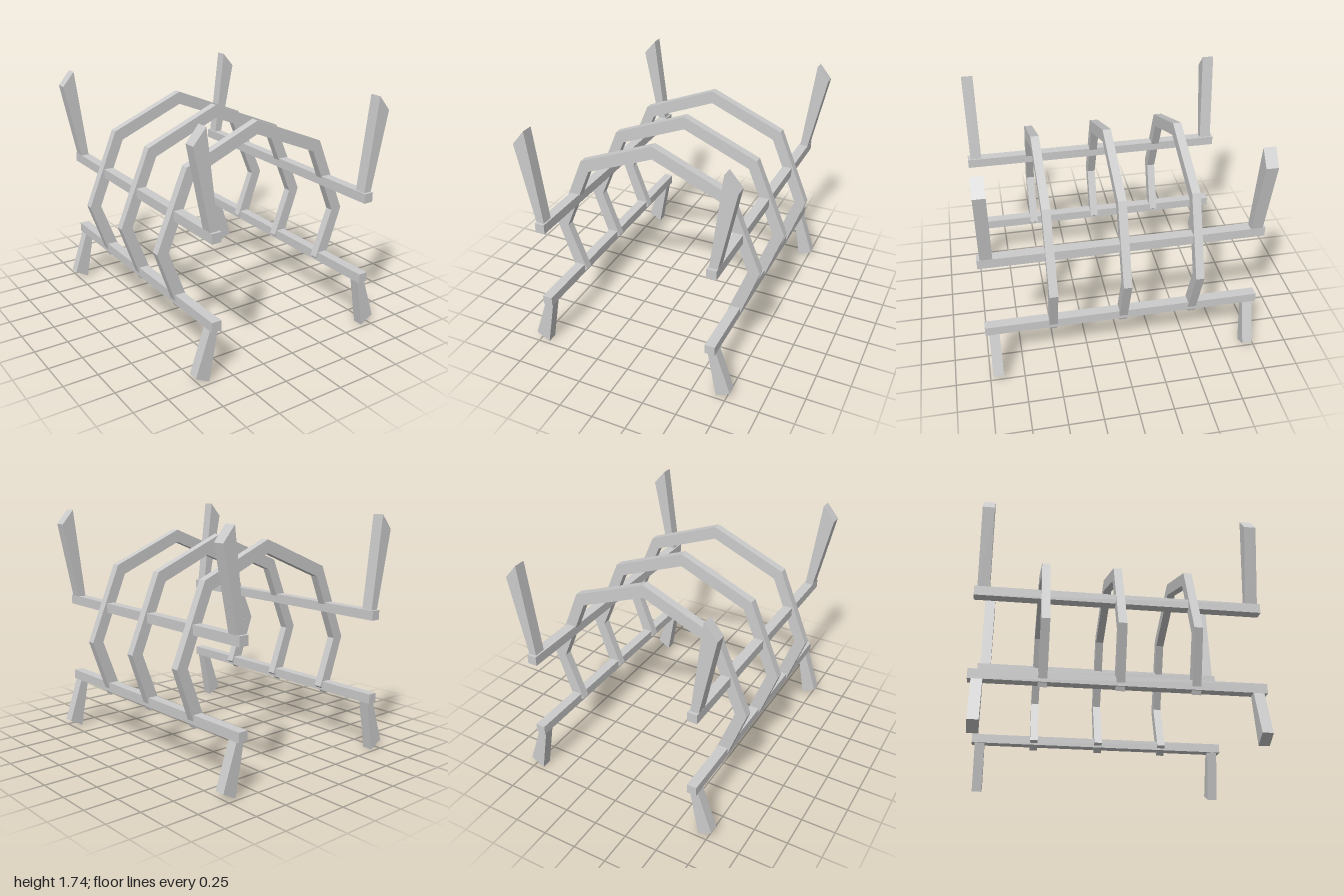
import * as THREE from 'three';

const material = new THREE.MeshStandardMaterial({ color: 0xcccccc, flatShading: true });

// Flat outline in the xy plane, given thickness along z and centred on z
function slab(name, points, depth, z) {
  const shape = new THREE.Shape(points.map(([x, y]) => new THREE.Vector2(x, y)));
  const geometry = new THREE.ExtrudeGeometry(shape, { depth, bevelEnabled: false });
  geometry.translate(0, 0, z - depth / 2);
  const mesh = new THREE.Mesh(geometry, material);
  mesh.name = name;
  return mesh;
}

const mirrored = (points) => points.map(([x, y]) => [-x, y]);

export function createModel() {
  const model = new THREE.Group();
  model.name = 'archedFrame';

  // Three faceted arched ribs: outer edge, then inner edge back
  const outer = [[0.65, 0.345], [0.8, 0.775], [0.563, 1.34]];
  const inner = [[0.505, 1.267], [0.712, 0.77], [0.577, 0.408]];
  const arch = [
    ...outer, [0, 1.572], ...mirrored(outer).reverse(),
    ...mirrored(inner).reverse(), [0, 1.476], ...inner,
  ];
  for (const z of [-0.513, 0, 0.513]) model.add(slab('archRib', arch, 0.06, z));

  // Outlines of the flared end pieces on the +x side
  const post = [[0.605, 1.03], [0.662, 1.03], [0.785, 1.628], [0.693, 1.735]];
  const leg = [[0.675, 0], [0.777, 0.055], [0.657, 0.41], [0.6, 0.41]];

  for (const side of [1, -1]) {
    const sided = (points) => (side > 0 ? points : mirrored(points));

    // Upper and lower long rails
    for (const [name, y] of [['upperRail', 1.025], ['lowerRail', 0.41]]) {
      const rail = new THREE.Mesh(new THREE.BoxGeometry(0.072, 0.07, 2), material);
      rail.name = name;
      rail.position.set(side * 0.633, y, 0);
      model.add(rail);
    }

    // Corner posts above and splayed legs below, at both ends
    for (const end of [1, -1]) {
      model.add(slab('cornerPost', sided(post), 0.085, end * 0.937));
      model.add(slab('leg', sided(leg), 0.075, end * 0.938));
    }
  }
  return model;
}
